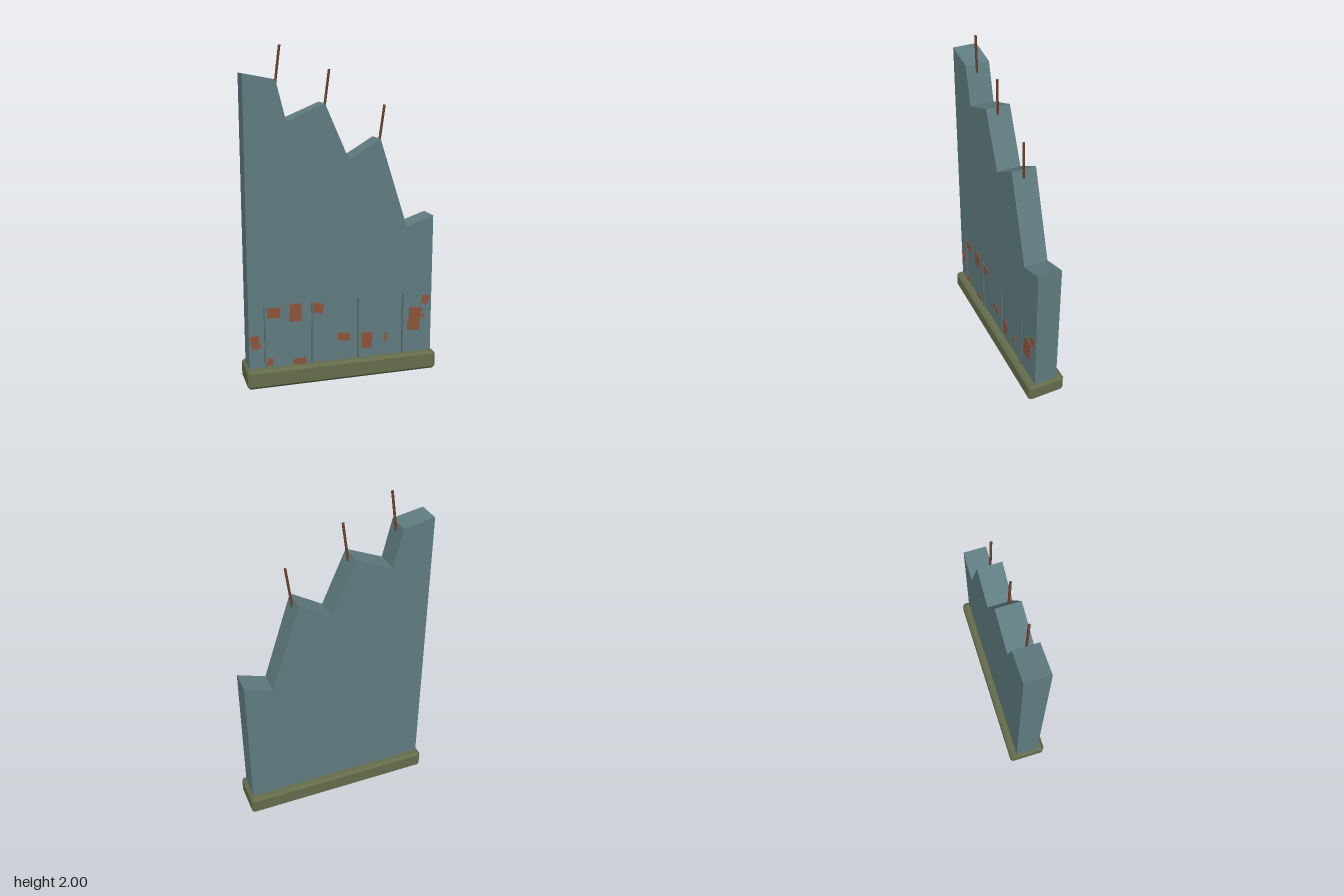
import * as THREE from 'three';
import { ConvexGeometry } from 'three/addons/geometries/ConvexGeometry.js';

const mat = (name, color) => {
  const m = new THREE.MeshStandardMaterial({ color });
  m.name = name;
  return m;
};

// Box with a flat chamfer along every edge
function chamferBox(w, h, d, b) {
  const pts = [];
  for (const x of [-1, 1]) for (const y of [-1, 1]) for (const z of [-1, 1]) {
    const X = w / 2, Y = h / 2, Z = d / 2;
    pts.push(new THREE.Vector3(x * X, y * (Y - b), z * (Z - b)));
    pts.push(new THREE.Vector3(x * (X - b), y * Y, z * (Z - b)));
    pts.push(new THREE.Vector3(x * (X - b), y * (Y - b), z * Z));
  }
  return new ConvexGeometry(pts);
}

// Rectangle whose sides are chipped by small shallow notches
function chippedShape(w, h) {
  const c = [[-w / 2, -h / 2], [w / 2, -h / 2], [w / 2, h / 2], [-w / 2, h / 2]];
  const inward = [[0, 1], [-1, 0], [0, -1], [1, 0]];
  const pts = [];
  c.forEach((a, i) => {
    const e = c[(i + 1) % 4];
    const steps = [[0, 0], [0.22, 0], [0.3, 1], [0.45, 1], [0.5, 0], [0.72, 0], [0.78, 1], [0.86, 0]];
    for (const [t, n] of steps) {
      pts.push(new THREE.Vector2(
        a[0] + (e[0] - a[0]) * t + inward[i][0] * n * 0.003,
        a[1] + (e[1] - a[1]) * t + inward[i][1] * n * 0.003));
    }
  });
  return new THREE.Shape(pts);
}

export function createModel() {
  const model = new THREE.Group();
  const slate = mat('slate wall', 0x607c80);
  const olive = mat('olive base', 0x656c4c);
  const rust = mat('rust patch', 0x8f5439);
  const rodMat = mat('rusted rod', 0x70422c);
  const seamMat = mat('grey seam', 0x5b6d70);

  const add = (name, geometry, material, x = 0, y = 0, z = 0) => {
    const m = new THREE.Mesh(geometry, material);
    m.name = name;
    m.position.set(x, y, z);
    model.add(m);
    return m;
  };

  // Chamfered plinth with a slate underside
  add('base', chamferBox(1.19, 0.114, 0.236, 0.015), olive, 0, 0.058, -0.002);
  add('baseUnderside', new THREE.BoxGeometry(1.16, 0.004, 0.206), slate, 0, 0.002, -0.002);

  // Wall slab with a broken top edge
  const outline = [
    [-0.578, 0.01], [0.574, 0.01], [0.574, 0.98], [0.402, 0.922], [0.229, 1.46],
    [0.036, 1.345], [-0.108, 1.673], [-0.334, 1.578], [-0.392, 1.81], [-0.578, 1.845],
  ].map(([x, y]) => new THREE.Vector2(x, y));
  add('wall', new THREE.ExtrudeGeometry(new THREE.Shape(outline),
    { depth: 0.146, bevelEnabled: false }), slate, 0, 0, -0.075);

  // Bent reinforcing rods at the broken steps
  for (const [x, y] of [[-0.384, 1.757], [-0.097, 1.62], [0.24, 1.412]]) {
    const dir = new THREE.Vector3(0.028, 0.242, 0.016);
    const rod = add('reinforcingRod', new THREE.CylinderGeometry(0.0075, 0.0075, dir.length(), 6),
      rodMat, x + 0.014, y + 0.121, 0.012);
    rod.quaternion.setFromUnitVectors(new THREE.Vector3(0, 1, 0), dir.normalize());
  }

  // Vertical seams on the front
  for (const x of [-0.481, -0.193, 0.095, 0.384]) {
    add('panelSeam', new THREE.BoxGeometry(0.01, 0.4, 0.009), seamMat, x, 0.3, 0.0755);
  }

  // Rust patches: x, y, width, height, tilt in degrees
  const patches = [
    [-0.54, 0.28, 0.052, 0.083, 13], [-0.426, 0.455, 0.08, 0.065, 0],
    [-0.294, 0.444, 0.073, 0.11, 0], [-0.156, 0.46, 0.068, 0.062, -11],
    [0.005, 0.26, 0.075, 0.05, -7], [0.153, 0.222, 0.068, 0.1, 0],
    [0.275, 0.228, 0.02, 0.055, -8], [0.463, 0.33, 0.08, 0.148, -6],
    [0.521, 0.345, 0.018, 0.018, 0], [0.534, 0.45, 0.046, 0.055, -8],
    [-0.452, 0.148, 0.035, 0.05, 0], [-0.272, 0.135, 0.08, 0.04, 7],
  ];
  for (const [x, y, w, h, tilt] of patches) {
    const patch = add('rustPatch', new THREE.ExtrudeGeometry(chippedShape(w, h),
      { depth: 0.005, bevelEnabled: false }), rust, x, y, 0.0705);
    patch.rotation.z = THREE.MathUtils.degToRad(tilt);
  }

  return model;
}
